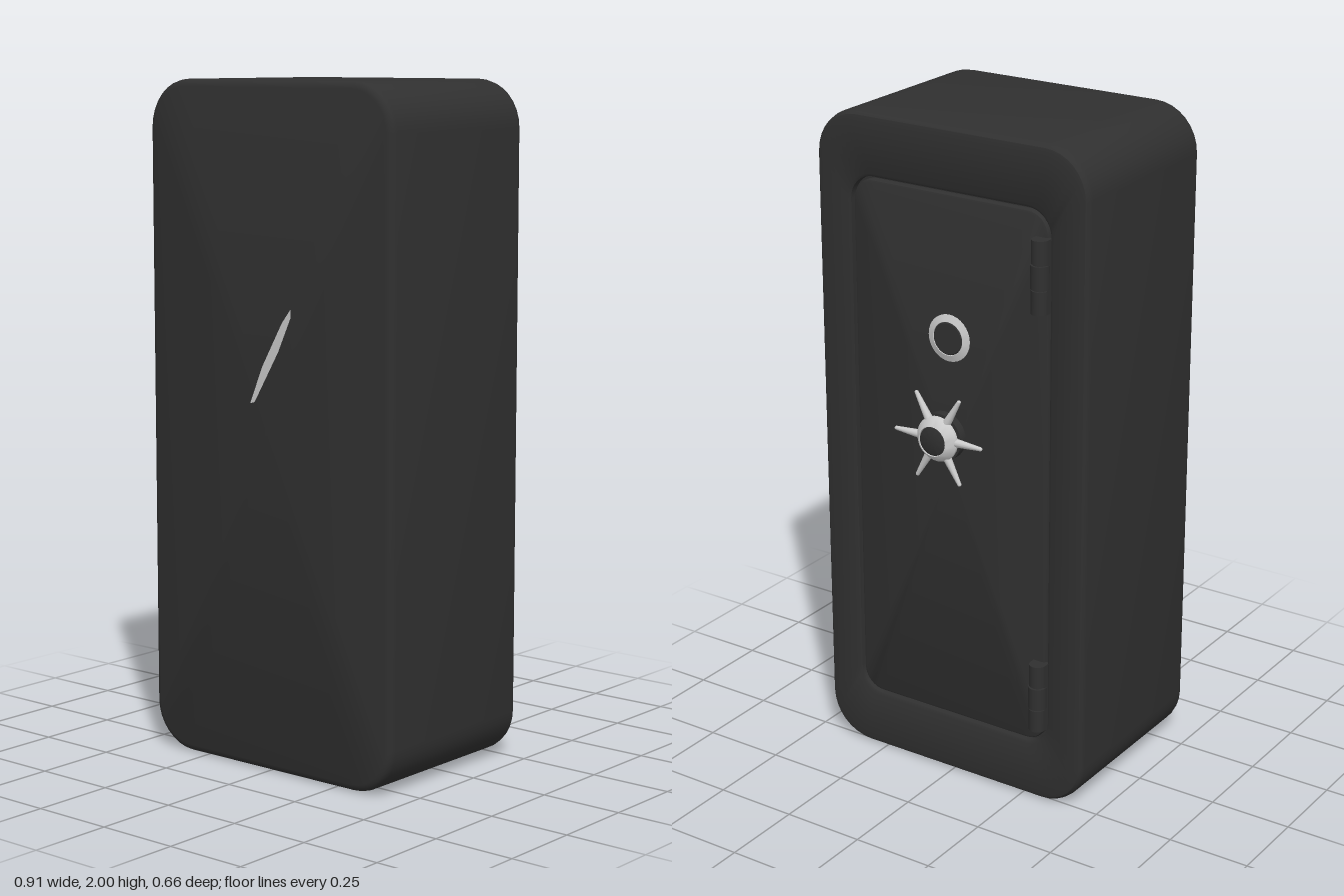
import * as THREE from 'three';
import { toCreasedNormals } from 'three/addons/utils/BufferGeometryUtils.js';

const dark = new THREE.MeshStandardMaterial({ color: 0x303030 });
dark.name = 'dark iron';
const steel = new THREE.MeshStandardMaterial({ color: 0xcccccc });
steel.name = 'pale steel';

// Points of a rounded rectangle, counter-clockwise
function ring([hw, hh, r, z]) {
  const pts = [];
  for (let c = 0; c < 4; c++) {
    const sx = c === 0 || c === 3 ? 1 : -1;
    const sy = c < 2 ? 1 : -1;
    for (let i = 0; i <= 8; i++) {
      const a = (c + i / 8) * Math.PI / 2;
      pts.push([sx * (hw - r) + r * Math.cos(a), 1 + sy * (hh - r) + r * Math.sin(a), z]);
    }
  }
  return pts;
}

// Skin over rounded rectangles running from +z to -z, capped at both ends
function loft(sections) {
  const rings = sections.map(ring);
  const n = rings[0].length;
  const pos = [];
  const tri = (...corners) => corners.forEach((p) => pos.push(...p));
  const first = rings[0];
  const last = rings[rings.length - 1];
  for (let j = 0; j < n; j++) {
    const k = (j + 1) % n;
    for (let i = 0; i < rings.length - 1; i++) {
      const p = rings[i], q = rings[i + 1];
      tri(p[j], q[j], q[k]);
      tri(p[j], q[k], p[k]);
    }
    tri([0, 1, first[0][2]], first[j], first[k]);
    tri([0, 1, last[0][2]], last[k], last[j]);
  }
  const geo = new THREE.BufferGeometry();
  geo.setAttribute('position', new THREE.Float32BufferAttribute(pos, 3));
  return toCreasedNormals(geo, 0.6);
}

// Turned part whose axis points out of the door (-z)
function turned(profile) {
  const pts = profile.map(([r, h]) => new THREE.Vector2(r, h));
  const geo = new THREE.LatheGeometry(pts, 32).rotateX(-Math.PI / 2);
  return toCreasedNormals(geo.toNonIndexed(), 0.6);
}

function add(parent, name, geo, mat, x = 0, y = 0, z = 0) {
  const mesh = new THREE.Mesh(geo, mat);
  mesh.name = name;
  mesh.position.set(x, y, z);
  parent.add(mesh);
  return mesh;
}

export function createModel() {
  const model = new THREE.Group();
  model.name = 'safe';

  // Cabinet with softened edges and a shallow door recess
  add(model, 'cabinet', loft([
    [0.433, 0.978, 0.118, 0.33], [0.445, 0.99, 0.13, 0.326],
    [0.452, 0.997, 0.137, 0.318], [0.455, 1, 0.14, 0.305],
    [0.455, 1, 0.14, -0.245], [0.452, 0.997, 0.137, -0.258],
    [0.445, 0.99, 0.13, -0.266], [0.433, 0.978, 0.118, -0.269],
    [0.345, 0.827, 0.085, -0.269], [0.337, 0.819, 0.077, -0.264],
    [0.335, 0.817, 0.075, -0.245],
  ]), dark);

  // Door panel
  add(model, 'door', loft([
    [0.328, 0.81, 0.068, -0.24], [0.328, 0.81, 0.068, -0.257],
    [0.325, 0.807, 0.065, -0.263], [0.318, 0.8, 0.058, -0.266],
  ]), dark);

  // Hinges with three knuckles each
  for (const y of [1.635, 0.35]) {
    const hinge = new THREE.Group();
    hinge.name = 'hinge';
    hinge.position.set(-0.313, y, -0.283);
    model.add(hinge);
    for (let i = -1; i <= 1; i++) {
      const r = i === 0 ? 0.027 : 0.025;
      add(hinge, 'hingeKnuckle', new THREE.CylinderGeometry(r, r, 0.068, 20), dark, 0, i * 0.072, 0);
    }
    add(hinge, 'hingePin', new THREE.CylinderGeometry(0.02, 0.02, 0.212, 16), dark);
    add(hinge, 'hingeLeaf', new THREE.BoxGeometry(0.05, 0.212, 0.025), dark, 0, 0, 0.013);
  }

  // Combination dial
  const dial = new THREE.Group();
  dial.name = 'dial';
  dial.position.set(0, 1.39, -0.266);
  model.add(dial);
  add(dial, 'dialRing', turned([[0.07, -0.004], [0.07, 0.002], [0.05, 0.009], [0.046, 0.004]]), steel);
  add(dial, 'dialKnob', turned([[0.05, 0], [0.05, 0.006], [0.046, 0.01], [0, 0.01]]), dark);

  // Spoked handle wheel
  const wheel = new THREE.Group();
  wheel.name = 'handleWheel';
  wheel.position.set(0.018, 1.092, -0.266);
  model.add(wheel);
  add(wheel, 'wheelBase', turned([[0.072, -0.004], [0.072, 0.026], [0, 0.026]]), dark);
  add(wheel, 'wheelHub', turned([
    [0.055, 0.026], [0.068, 0.034], [0.068, 0.042], [0.05, 0.064], [0.045, 0.066], [0.043, 0.06],
  ]), steel);
  add(wheel, 'hubCap', turned([[0.045, 0.056], [0.043, 0.064], [0.036, 0.067], [0, 0.067]]), dark);
  for (let i = 0; i < 6; i++) {
    const geo = new THREE.CylinderGeometry(0.006, 0.014, 0.1, 12).translate(0, 0.096, 0);
    const spoke = add(wheel, 'wheelSpoke', geo, steel, 0, 0, -0.035);
    spoke.rotation.z = i * Math.PI / 3 + Math.PI / 2;
    const tip = new THREE.SphereGeometry(0.006, 12, 8).translate(0, 0.146, 0);
    add(spoke, 'spokeTip', tip, steel);
  }

  // Slanted sliver on the plain face
  const sliver = new THREE.Shape([
    [-0.062, 1.08], [-0.045, 1.085], [0.045, 1.235], [0.092, 1.335],
    [0.092, 1.36], [0.06, 1.32], [-0.015, 1.19],
  ].map(([x, y]) => new THREE.Vector2(x, y)));
  add(model, 'frontSliver', new THREE.ShapeGeometry(sliver), steel, 0, 0, 0.3315);

  return model;
}
